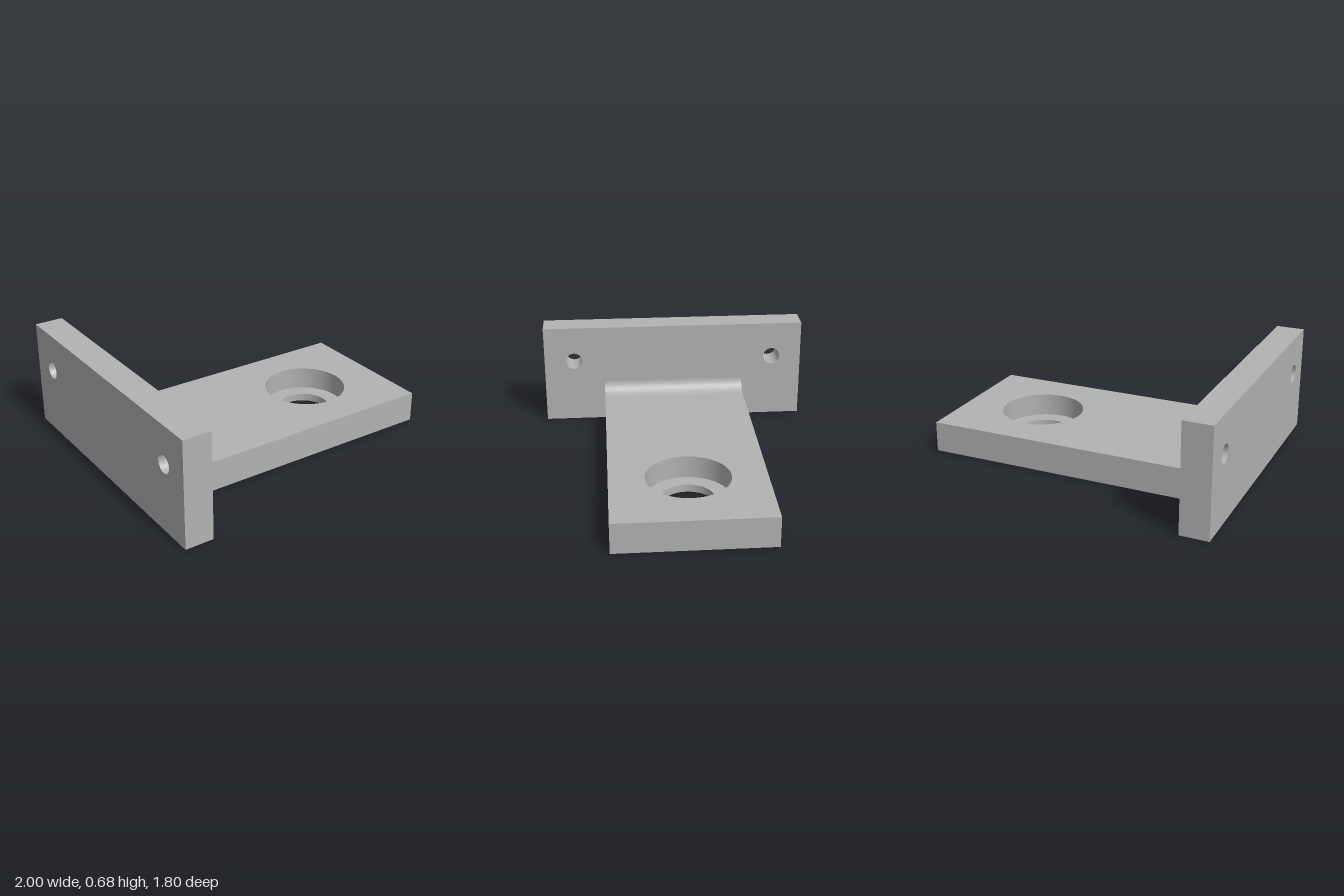
import * as THREE from 'three';
import { toCreasedNormals } from 'three/addons/utils/BufferGeometryUtils.js';

const steel = new THREE.MeshStandardMaterial({ color: 0xb2b2b2 });
steel.name = 'plain grey';

const FLANGE_X = -0.82; // inner face of the upright flange
const ARM_TOP = 0.195;
const ARM_HALF = 0.485;
const LEDGE = 0.05; // height of the counterbore floor

// rectangle with round holes given as [x, y, radius]
function plate(x0, y0, x1, y1, holes) {
  const s = new THREE.Shape();
  s.moveTo(x0, y0).lineTo(x1, y0).lineTo(x1, y1).lineTo(x0, y1).closePath();
  for (const [x, y, r] of holes) {
    s.holes.push(new THREE.Path().absarc(x, y, r, 0, Math.PI * 2, true));
  }
  return s;
}

function extrude(shape, depth) {
  return new THREE.ExtrudeGeometry(shape, { depth, bevelEnabled: false, curveSegments: 32 });
}

function part(name, geometry) {
  const mesh = new THREE.Mesh(toCreasedNormals(geometry, 0.6), steel);
  mesh.name = name;
  return mesh;
}

export function createModel() {
  const group = new THREE.Group();
  group.name = 'mountingBracket';

  // upright flange with two bolt holes
  const flange = extrude(
    plate(-0.9, 0, 0.9, 0.68, [[-0.695, 0.4375, 0.057], [0.695, 0.4375, 0.057]]),
    FLANGE_X + 1
  );
  flange.rotateY(Math.PI / 2).translate(-1, 0, 0);
  group.add(part('flange', flange));

  // arm in two layers: through hole below, wider counterbore above
  const layers = [
    ['armLowerLayer', 0, LEDGE, 0.163],
    ['armUpperLayer', LEDGE, ARM_TOP, 0.263],
  ];
  for (const [name, y0, y1, r] of layers) {
    const layer = extrude(plate(FLANGE_X, -ARM_HALF, 1, ARM_HALF, [[0.482, 0, r]]), y1 - y0);
    layer.rotateX(-Math.PI / 2).translate(0, y0, 0);
    group.add(part(name, layer));
  }

  // concave fillet between arm and flange
  const r = 0.09;
  const profile = new THREE.Shape();
  profile.moveTo(FLANGE_X, ARM_TOP).lineTo(FLANGE_X + r, ARM_TOP);
  profile.absarc(FLANGE_X + r, ARM_TOP + r, r, -Math.PI / 2, -Math.PI, true);
  profile.closePath();
  const fillet = extrude(profile, ARM_HALF * 2);
  fillet.translate(0, 0, -ARM_HALF);
  group.add(part('fillet', fillet));

  return group;
}
